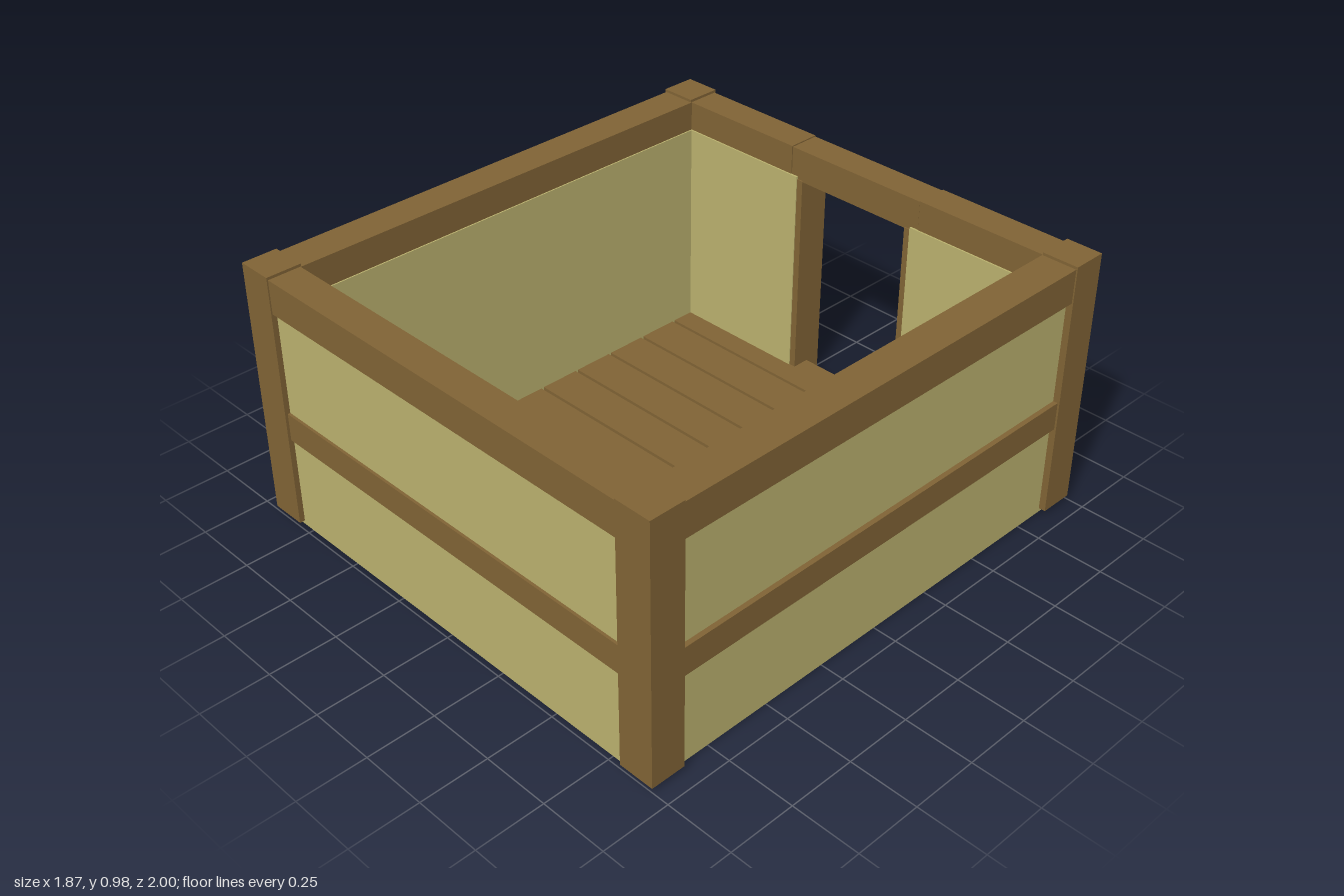
import * as THREE from 'three';

export function createModel() {
  const group = new THREE.Group();
  const wood = new THREE.MeshStandardMaterial({ color: 0x806335 });
  const plaster = new THREE.MeshStandardMaterial({ color: 0xbab16e });

  // Box given by its lower and upper bounds on each axis
  const box = (name, material, [x0, x1], [y0, y1], [z0, z1]) => {
    const mesh = new THREE.Mesh(new THREE.BoxGeometry(x1 - x0, y1 - y0, z1 - z0), material);
    mesh.position.set((x0 + x1) / 2, (y0 + y1) / 2, (z0 + z1) / 2);
    mesh.name = name;
    group.add(mesh);
  };
  // Range mirrored to the chosen side
  const side = (s, a, b) => (s > 0 ? [a, b] : [-b, -a]);

  const wallY = [0, 0.86], midY = [0.355, 0.46], topY = [0.845, 0.97];

  for (const s of [-1, 1]) {
    // Corner posts
    for (const t of [-1, 1]) {
      box('cornerPost', wood, side(s, 0.8, 0.935), [0.015, 0.98], side(t, 0.87, 1));
    }
    // Side walls with their rails
    box('sideWall', plaster, side(s, 0.793, 0.91), wallY, [-0.965, 0.98]);
    box('sideMidRail', wood, side(s, 0.85, 0.928), midY, [-0.88, 0.88]);
    box('sideTopRail', wood, side(s, 0.798, 0.93), topY, [-0.88, 0.88]);

    // Back wall halves, rails and door posts either side of the doorway
    box('backWall', plaster, side(s, 0.26, 0.8), wallY, [-0.965, -0.867]);
    box('backMidRail', wood, side(s, 0.3, 0.81), midY, [-0.985, -0.92]);
    box('backTopRail', wood, side(s, 0.292, 0.81), topY, [-0.995, -0.873]);
    box('doorPost', wood, side(s, 0.235, 0.345), [0.01, 0.85], [-1, -0.87]);
  }
  box('doorLintel', wood, [-0.29, 0.29], [0.845, 0.967], [-0.993, -0.875]);

  // Front wall with its rails
  box('frontWall', plaster, [-0.8, 0.8], wallY, [0.865, 0.98]);
  box('frontMidRail', wood, [-0.81, 0.81], midY, [0.92, 0.99]);
  box('frontTopRail', wood, [-0.81, 0.81], topY, [0.873, 0.995]);

  // Floor slab, doorway sill and planks
  box('floorSlab', wood, [-0.8, 0.8], [0.004, 0.045], [-0.87, 0.87]);
  box('doorSill', wood, [-0.25, 0.25], [0.004, 0.045], [-0.945, -0.865]);
  for (let i = 0; i < 11; i++) {
    const z = -0.937 + i * 0.1705;
    const halfWidth = i === 0 ? 0.25 : 0.797;
    box('floorPlank', wood, [-halfWidth, halfWidth], [0.04, 0.065], [z, z + 0.158]);
  }
  // Rest of the first plank, inside the back wall
  box('floorPlankEdge', wood, [-0.797, 0.797], [0.04, 0.0648], [-0.88, -0.7792]);

  return group;
}
